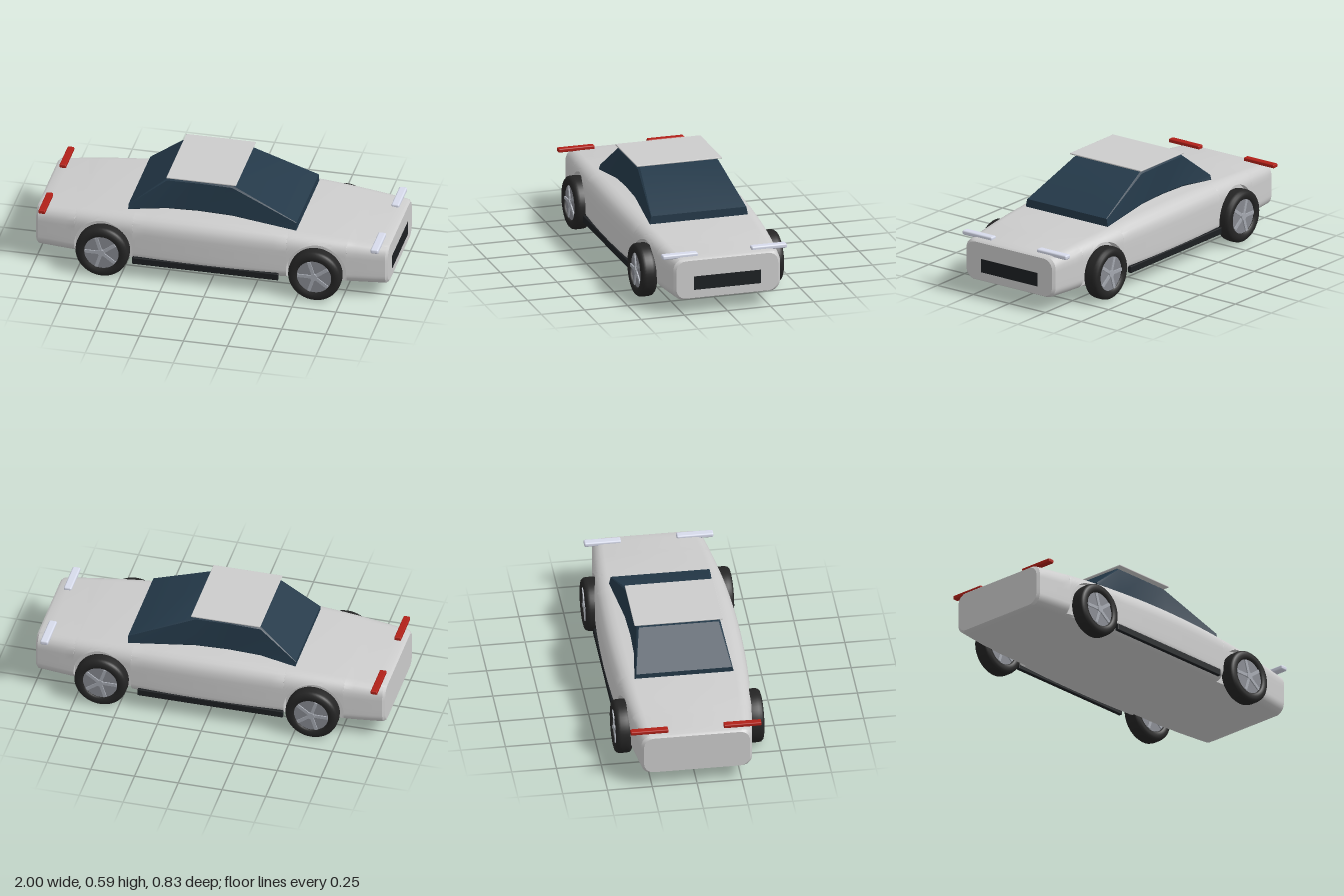
import * as THREE from 'three';
import { toCreasedNormals } from 'three/addons/utils/BufferGeometryUtils.js';
import { RoundedBoxGeometry } from 'three/addons/geometries/RoundedBoxGeometry.js';

const mat = (color) => new THREE.MeshStandardMaterial({ color });

function add(parent, name, geometry, material, x = 0, y = 0, z = 0) {
  const mesh = new THREE.Mesh(geometry, material);
  mesh.name = name;
  mesh.position.set(x, y, z);
  parent.add(mesh);
  return mesh;
}

// Skin closed rings ordered along +x, with a fan cap at each end
function loft(rings, crease) {
  const n = rings[0].length, pos = [], idx = [];
  rings.forEach((r) => r.forEach((p) => pos.push(...p)));
  for (let i = 0; i < rings.length - 1; i++) {
    for (let j = 0; j < n; j++) {
      const k = (j + 1) % n;
      const a = i * n + j, b = a + n, c = (i + 1) * n + k, d = i * n + k;
      idx.push(a, b, c, a, c, d);
    }
  }
  [0, rings.length - 1].forEach((i) => {
    const ring = rings[i], centre = pos.length / 3;
    const ys = ring.map((p) => p[1]);
    pos.push(ring[0][0], (Math.min(...ys) + Math.max(...ys)) / 2, 0);
    for (let j = 0; j < n; j++) {
      const a = i * n + j, b = i * n + (j + 1) % n;
      if (i === 0) idx.push(centre, a, b);
      else idx.push(centre, b, a);
    }
  });
  const g = new THREE.BufferGeometry();
  g.setAttribute('position', new THREE.Float32BufferAttribute(pos, 3));
  g.setIndex(idx);
  return toCreasedNormals(g, crease);
}

// Complete a ring from its +z half, listed bottom to top
const mirrorRing = (half) => [...half, ...half.slice().reverse().map(([x, y, z]) => [x, y, -z])];

const WHEEL_X = 0.603, WHEEL_Y = 0.15, ARCH_R = 0.168, WELL_Z = 0.312;

// Body section at x; inside a wheel arch the side below archY is pushed in to the well
function bodyRing(x, archY, inWell, inset = 0) {
  const W = 0.382 - 0.075 * x * x - inset;
  const y0 = 0.087 + inset * 0.6;
  const top = 0.376 - 0.054 * (x + 0.03) ** 2 - inset * 0.6;
  const cTop = 0.09 - 0.035 * x * x, cBot = 0.065 - 0.01 * x * x;
  const hTop = 0.085 - 0.03 * x * x, hBot = 0.06;
  const width = (y) => {
    const ut = Math.min(1, Math.max(0, (y - (top - hTop)) / hTop));
    const ub = Math.min(1, Math.max(0, (y0 + hBot - y) / hBot));
    return W - cTop * (1 - Math.sqrt(1 - ut * ut)) - cBot * (1 - Math.sqrt(1 - ub * ub));
  };
  const half = [], N = 8;
  for (let k = 0; k <= N; k++) {
    const y = y0 + (archY - y0) * (1 - Math.cos((k / N) * Math.PI / 2));
    half.push([x, y, inWell ? Math.min(WELL_Z, width(y)) : width(y)]);
  }
  for (let k = 0; k <= N; k++) {
    const y = archY + (top - archY) * Math.sin((k / N) * Math.PI / 2);
    half.push([x, y, width(y)]);
  }
  return mirrorRing(half);
}

function bodyGeometry() {
  const rings = [bodyRing(-0.998, WHEEL_Y, false, 0.012)];
  const plain = (from, to, n) => {
    for (let i = 0; i <= n; i++) rings.push(bodyRing(from + (to - from) * i / n, WHEEL_Y, false));
  };
  const arch = (cx) => {
    const n = 28;
    for (let i = 0; i <= n; i++) {
      const a = Math.PI * (1 - i / n);
      rings.push(bodyRing(cx + ARCH_R * Math.cos(a), WHEEL_Y + ARCH_R * Math.sin(a), true));
    }
  };
  plain(-0.985, -WHEEL_X - ARCH_R, 4);
  arch(-WHEEL_X);
  plain(-WHEEL_X + ARCH_R, WHEEL_X - ARCH_R, 12);
  arch(WHEEL_X);
  plain(WHEEL_X + ARCH_R, 0.985, 4);
  rings.push(bodyRing(0.998, WHEEL_Y, false, 0.012));
  return loft(rings, 0.6);
}

// Greenhouse stations: x, bottom y, top y, bottom half width, top half width
function cabinGeometry() {
  const stations = [
    [-0.48, 0.372, 0.4, 0.277, 0.268],
    [-0.27, 0.386, 0.568, 0.25, 0.232],
    [-0.09, 0.389, 0.57, 0.245, 0.23],
    [0.1, 0.386, 0.568, 0.25, 0.232],
    [0.475, 0.362, 0.408, 0.285, 0.276],
  ];
  return loft(stations.map(([x, b, t, wb, wt]) => {
    const c = (t - b) * 0.05;
    return mirrorRing([[x, b, wb - c], [x, b + c, wb], [x, t - c, wt + c * 0.3], [x, t, wt - c]]);
  }), 0.5);
}

function makeWheel(tyreMat, rimMat, spokeMat) {
  const wheel = new THREE.Group();
  const profile = [
    [0.098, -0.036], [0.105, -0.044], [0.122, -0.047], [0.138, -0.043], [0.147, -0.033], [0.15, -0.018],
    [0.15, 0.018], [0.147, 0.033], [0.138, 0.043], [0.122, 0.047], [0.105, 0.044], [0.098, 0.036], [0.098, -0.036],
  ].map(([r, h]) => new THREE.Vector2(r, h));
  add(wheel, 'tyre', new THREE.LatheGeometry(profile, 48).rotateX(Math.PI / 2), tyreMat);
  add(wheel, 'rim', new THREE.CylinderGeometry(0.1, 0.1, 0.066, 40).rotateX(Math.PI / 2), rimMat);
  add(wheel, 'hub', new THREE.CylinderGeometry(0.02, 0.02, 0.088, 20).rotateX(Math.PI / 2), spokeMat);
  for (let i = 0; i < 5; i++) {
    const spoke = new THREE.BoxGeometry(0.018, 0.086, 0.08).translate(0, 0.052, 0);
    add(wheel, 'spoke', spoke, spokeMat).rotation.z = i * Math.PI * 2 / 5 + Math.PI / 10;
  }
  return wheel;
}

export function createModel() {
  const car = new THREE.Group();
  car.name = 'car';
  const paint = mat(0xcccccc), glass = mat(0x243949), trim = mat(0x1c1f22);
  const tyreMat = mat(0x242424), rimMat = mat(0x85888f), spokeMat = mat(0xa4a8b0);
  const red = mat(0xb02018), lamp = mat(0xd6daea);

  add(car, 'body', bodyGeometry(), paint);
  add(car, 'cabinGlass', cabinGeometry(), glass);
  add(car, 'roofPanel', new RoundedBoxGeometry(0.395, 0.008, 0.494, 2, 0.003), paint, -0.073, 0.582, 0);
  add(car, 'grille', new THREE.BoxGeometry(0.012, 0.078, 0.39), trim, 0.994, 0.18, 0);

  // Paired parts on each side
  for (const s of [1, -1]) {
    add(car, 'sideSkirt', new RoundedBoxGeometry(0.83, 0.04, 0.022, 2, 0.005), trim, -0.02, 0.109, s * 0.374);
    add(car, 'headlight', new RoundedBoxGeometry(0.045, 0.026, 0.206, 3, 0.009), lamp, 0.935, 0.328, s * 0.258);
    add(car, 'tailLight', new RoundedBoxGeometry(0.038, 0.022, 0.21, 3, 0.006), red, -0.951, 0.34, s * 0.26);
    for (const x of [-WHEEL_X, WHEEL_X]) {
      const wheel = makeWheel(tyreMat, rimMat, spokeMat);
      wheel.name = x > 0 ? 'frontWheel' : 'rearWheel';
      wheel.position.set(x, WHEEL_Y, s * 0.368);
      car.add(wheel);
    }
  }
  return car;
}
